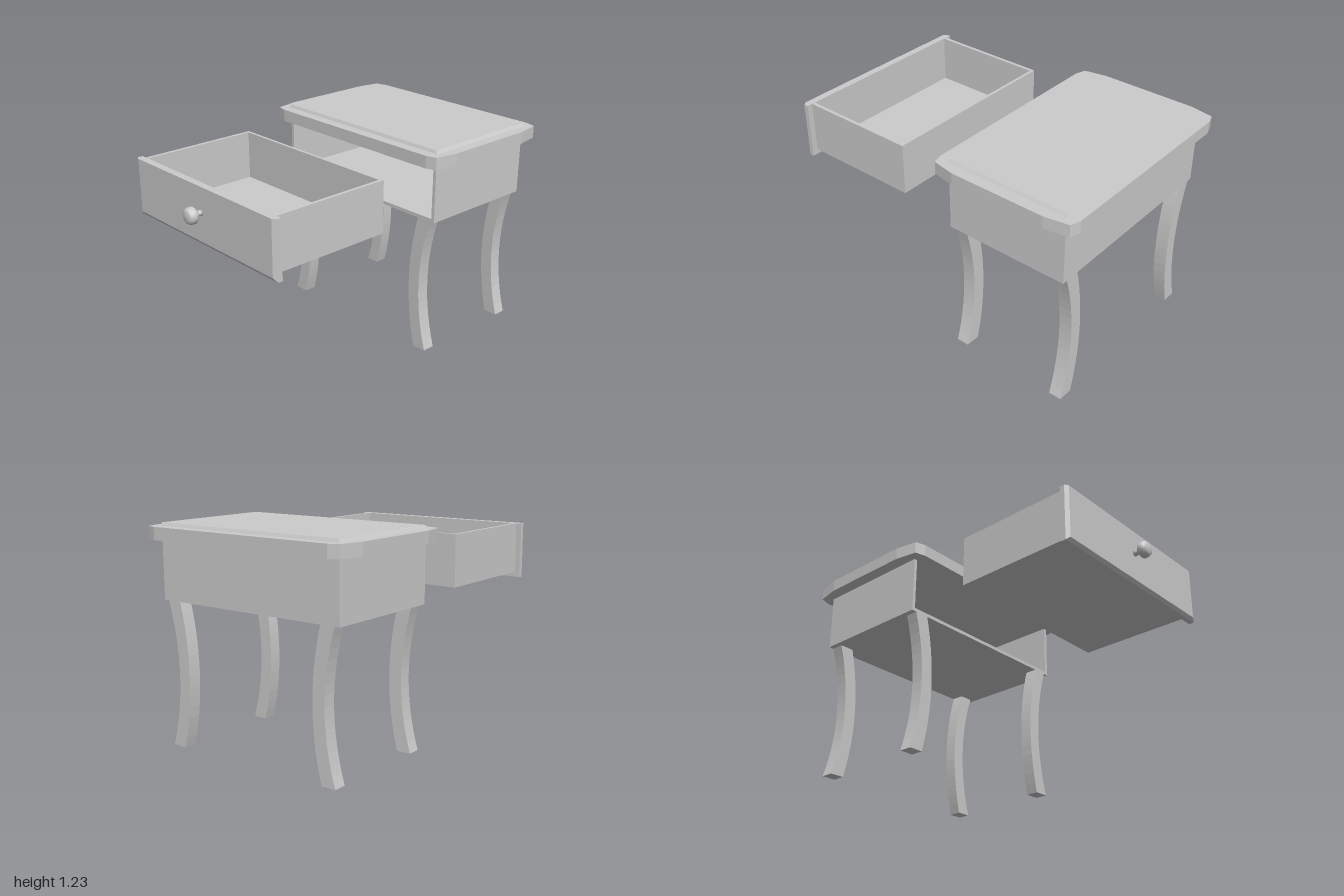
import * as THREE from 'three';

const grey = new THREE.MeshStandardMaterial({ color: 0xcccccc });

function add(parent, name, geometry) {
  const mesh = new THREE.Mesh(geometry, grey);
  mesh.name = name;
  parent.add(mesh);
  return mesh;
}

// Box given by its lower and upper limits on each axis
function box(parent, name, [x0, x1], [y0, y1], [z0, z1]) {
  const mesh = add(parent, name, new THREE.BoxGeometry(x1 - x0, y1 - y0, z1 - z0));
  mesh.position.set((x0 + x1) / 2, (y0 + y1) / 2, (z0 + z1) / 2);
  return mesh;
}

// Flat-faced copy of a reshaped geometry
function faceted(geometry) {
  const flat = geometry.toNonIndexed();
  flat.computeVertexNormals();
  return flat;
}

// Slab with softly bowed corners
function tableTop() {
  const outline = [
    [0.13, 0.58], [0.147, 0.64], [0.28, 0.665], [0.84, 0.665], [0.978, 0.64], [0.997, 0.58],
    [0.997, -0.58], [0.978, -0.64], [0.84, -0.665], [0.28, -0.665], [0.147, -0.64], [0.13, -0.58],
  ].map(([x, z]) => new THREE.Vector2(x, -z));
  const geometry = new THREE.ExtrudeGeometry(new THREE.Shape(outline), { depth: 0.07, bevelEnabled: false });
  return geometry.rotateX(-Math.PI / 2).translate(0, 1.14, 0);
}

// Thin raised panel with sloping edges
function raisedPanel() {
  const geometry = new THREE.BoxGeometry(0.745, 0.018, 1.21);
  const p = geometry.attributes.position;
  for (let i = 0; i < p.count; i++) {
    if (p.getY(i) > 0) {
      p.setX(i, Math.sign(p.getX(i)) * 0.363);
      p.setZ(i, Math.sign(p.getZ(i)) * 0.592);
    }
  }
  return faceted(geometry).translate(0.5625, 1.218, 0);
}

// Leg bowed inward at mid height, cut flat at both ends
function legGeometry() {
  const steps = 14, height = 0.81, outer = [], inner = [];
  for (let i = 0; i <= steps; i++) {
    const t = (2 * i) / steps - 1;
    const y = (i / steps) * height;
    outer.push(new THREE.Vector2(-(0.5 + 0.064 * t * t), y));
    inner.push(new THREE.Vector2(-(0.425 + 0.053 * t * t), y));
  }
  const shape = new THREE.Shape([...outer, ...inner.reverse()]);
  const geometry = new THREE.ExtrudeGeometry(shape, { depth: 0.075, bevelEnabled: false });
  return geometry.rotateY(Math.PI / 2);
}

// Drawer front, chamfered on its sides and lower edge
function drawerFront() {
  const geometry = new THREE.BoxGeometry(2, 2, 2, 2, 1, 1);
  const p = geometry.attributes.position;
  const layers = [
    { x: -0.907, z: 0.57, bottom: 0.835 },
    { x: -0.893, z: 0.593, bottom: 0.815 },
    { x: -0.865, z: 0.593, bottom: 0.815 },
  ];
  for (let i = 0; i < p.count; i++) {
    const layer = layers[Math.round(p.getX(i)) + 1];
    p.setXYZ(i, layer.x, p.getY(i) > 0 ? 1.142 : layer.bottom, Math.sign(p.getZ(i)) * layer.z);
  }
  return faceted(geometry);
}

// Turned knob pointing toward -x
function knobGeometry() {
  const profile = [
    [0, 0], [0.018, 0], [0.015, 0.012], [0.015, 0.03], [0.022, 0.037], [0.038, 0.041],
    [0.046, 0.05], [0.046, 0.07], [0.04, 0.085], [0.026, 0.092], [0, 0.094],
  ].map(([r, y]) => new THREE.Vector2(r, y));
  return new THREE.LatheGeometry(profile, 24).rotateZ(Math.PI / 2).translate(-0.906, 1, 0);
}

export function createModel() {
  const model = new THREE.Group();
  model.name = 'sideTableWithDrawer';

  // Table case, open toward -x
  const table = new THREE.Group();
  table.name = 'table';
  model.add(table);
  const caseX = [0.2, 0.925], caseY = [0.81, 1.14];
  box(table, 'caseFloor', [0.2, 0.905], [0.81, 0.83], [-0.575, 0.575]);
  box(table, 'caseBack', [0.905, 0.925], caseY, [-0.575, 0.575]);
  box(table, 'caseSideFront', caseX, caseY, [0.575, 0.595]);
  box(table, 'caseSideRear', caseX, caseY, [-0.595, -0.575]);
  add(table, 'tableTop', tableTop());
  add(table, 'topPanel', raisedPanel());

  // Four legs, the rear pair turned to mirror the front pair
  const leg = legGeometry();
  for (const x of [0.2, 0.85]) {
    add(table, 'frontLeg', leg).position.x = x;
    const rear = add(table, 'rearLeg', leg);
    rear.rotation.y = Math.PI;
    rear.position.x = x + 0.075;
  }

  // Drawer pulled clear of the case
  const drawer = new THREE.Group();
  drawer.name = 'drawer';
  model.add(drawer);
  const drawerY = [0.845, 1.142];
  box(drawer, 'drawerFloor', [-0.865, -0.177], [0.845, 0.865], [-0.54, 0.54]);
  box(drawer, 'drawerBack', [-0.177, -0.16], drawerY, [-0.54, 0.54]);
  box(drawer, 'drawerSideFront', [-0.865, -0.16], drawerY, [0.54, 0.56]);
  box(drawer, 'drawerSideRear', [-0.865, -0.16], drawerY, [-0.56, -0.54]);
  add(drawer, 'drawerFront', drawerFront());
  add(drawer, 'knob', knobGeometry());

  return model;
}
